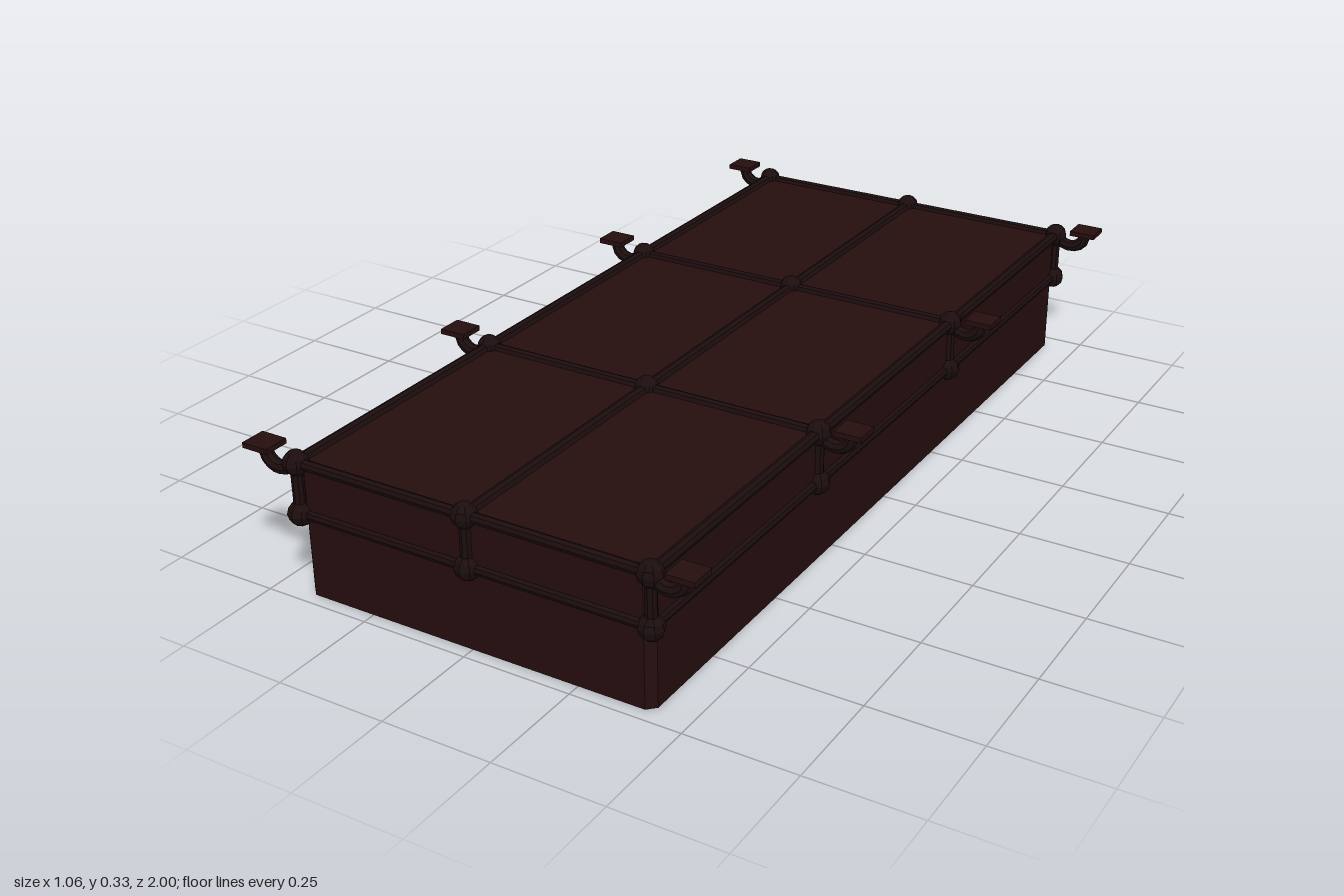
import * as THREE from 'three';

const X = 0.42, Z = 0.97;          // half width and half length of the tray
const TOP = 0.304, MID = 0.189;    // heights of the two rail levels
const COLS = [-X, 0, X];
const ROWS = [-Z, -Z / 3, Z / 3, Z];

export function createModel() {
  const group = new THREE.Group();
  const panel = new THREE.MeshStandardMaterial({ name: 'dark maroon panel', color: 0x260e0e, side: THREE.DoubleSide });
  const metal = new THREE.MeshStandardMaterial({ name: 'blackened iron', color: 0x1c0d0e, flatShading: true });

  const add = (name, geometry, material, x = 0, y = 0, z = 0) => {
    const mesh = new THREE.Mesh(geometry, material);
    mesh.name = name;
    mesh.position.set(x, y, z);
    group.add(mesh);
    return mesh;
  };

  // Round bar between two points
  const bar = (name, a, b, r) => {
    const from = new THREE.Vector3(...a), dir = new THREE.Vector3(...b).sub(from);
    const mesh = add(name, new THREE.CylinderGeometry(r, r, dir.length(), 8), metal);
    mesh.position.copy(from).addScaledVector(dir, 0.5);
    mesh.quaternion.setFromUnitVectors(new THREE.Vector3(0, 1, 0), dir.normalize());
  };

  // Chamfered outline shared by the walls and the lid
  const c = 0.018;
  const outline = [
    [X, Z - c], [X - c, Z], [-X + c, Z], [-X, Z - c],
    [-X, -Z + c], [-X + c, -Z], [X - c, -Z], [X, -Z + c],
  ];

  // Open-bottomed walls
  const pos = [];
  outline.forEach(([x0, z0], i) => {
    const [x1, z1] = outline[(i + 1) % outline.length];
    pos.push(x0, 0, z0, x0, TOP, z0, x1, 0, z1);
    pos.push(x1, 0, z1, x0, TOP, z0, x1, TOP, z1);
  });
  const walls = new THREE.BufferGeometry();
  walls.setAttribute('position', new THREE.Float32BufferAttribute(pos, 3));
  walls.computeVertexNormals();
  add('walls', walls, panel);

  // Lid
  const lid = new THREE.ShapeGeometry(new THREE.Shape(outline.map(([x, z]) => new THREE.Vector2(x, -z))));
  lid.rotateX(-Math.PI / 2);
  add('lid', lid, panel, 0, TOP, 0);

  // Lengthwise and crosswise rails
  for (const x of COLS) bar('lidLengthRail', [x, TOP, -Z], [x, TOP, Z], 0.013);
  for (const z of ROWS) bar('lidCrossRail', [-X, TOP, z], [X, TOP, z], 0.012);
  for (const s of [-1, 1]) {
    bar('sideRail', [s * X, MID, -Z], [s * X, MID, Z], 0.011);
    bar('endRail', [-X, MID, s * Z], [X, MID, s * Z], 0.011);
  }

  // Ball joints, with posts around the perimeter
  const ball = new THREE.SphereGeometry(0.028, 8, 6);
  for (const x of COLS) for (const z of ROWS) {
    add('topJoint', ball, metal, x, TOP, z);
    if (x === 0 && Math.abs(z) < Z) continue;
    add('lowerJoint', ball, metal, x, MID, z);
    bar('post', [x, MID, z], [x, TOP, z], 0.013);
  }

  // Curved brackets carrying square plates
  for (const s of [-1, 1]) {
    const path = new THREE.CatmullRomCurve3([
      [0.42, 0.3], [0.45, 0.284], [0.475, 0.285], [0.494, 0.301], [0.498, 0.325],
    ].map(([x, y]) => new THREE.Vector3(s * x, y, 0)));
    const hook = new THREE.TubeGeometry(path, 8, 0.015, 8);
    for (const z of ROWS) {
      add('bracket', hook, metal, 0, 0, z);
      add('bracketPlate', new THREE.BoxGeometry(0.063, 0.012, 0.06), panel, s * 0.5, 0.327, z);
    }
  }
  return group;
}
